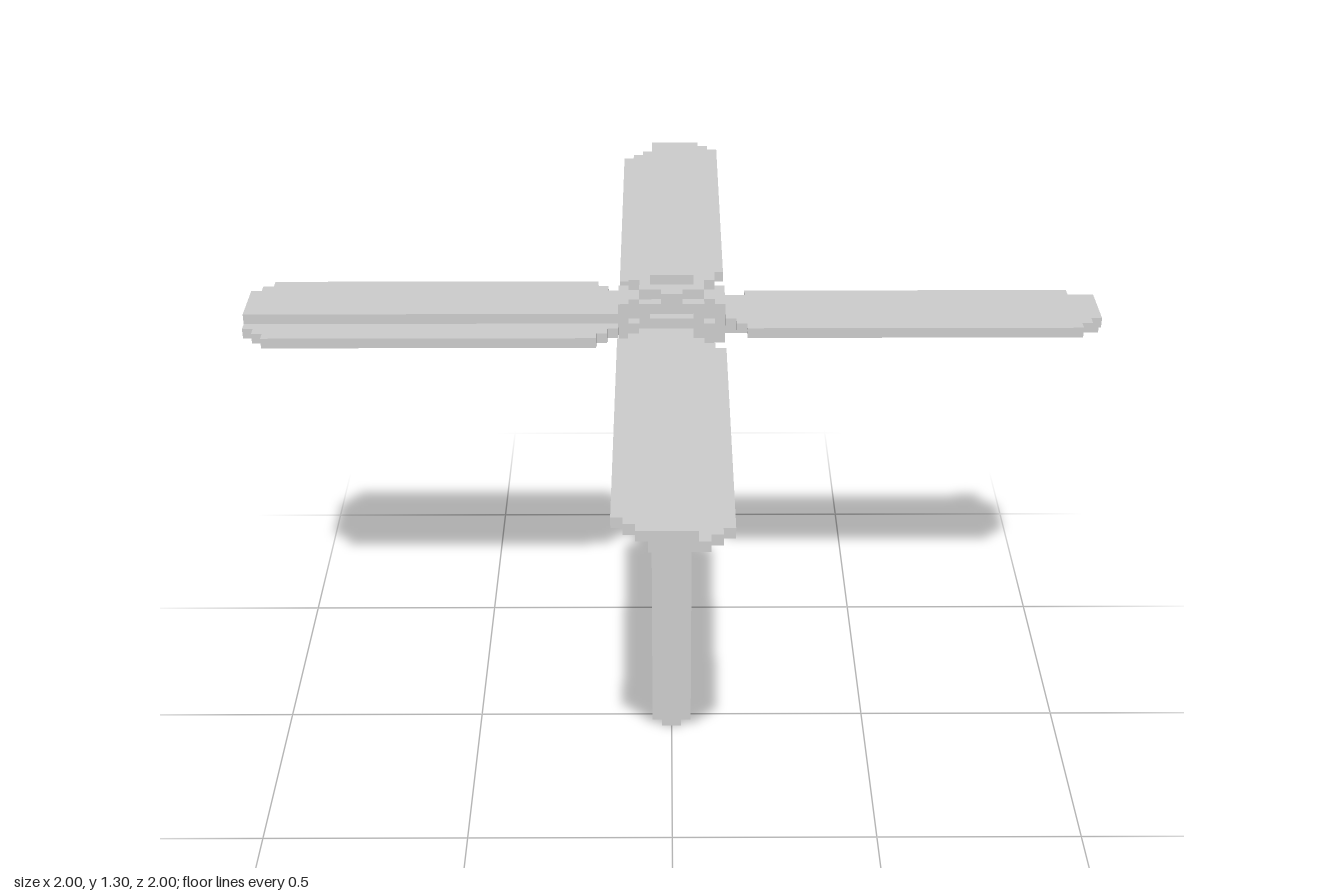
import * as THREE from 'three';

const U = 0.025; // size of one block
const material = new THREE.MeshStandardMaterial({ color: 0xcccccc, flatShading: true });

// Stepped outline: union of centred rectangles given as [half width, half depth],
// ordered from widest to deepest, with depth limited to lo..hi.
function steppedShape(rects, lo = -Infinity, hi = Infinity) {
  const quarter = [];
  rects.forEach(([w, d], i) => {
    if (i > 0) quarter.push([w, rects[i - 1][1]]);
    quarter.push([w, d]);
  });
  const reversed = [...quarter].reverse();
  const outline = [
    ...quarter,
    ...reversed.map(([x, y]) => [-x, y]),
    ...quarter.map(([x, y]) => [-x, -y]),
    ...reversed.map(([x, y]) => [x, -y]),
  ].map(([x, y]) => new THREE.Vector2(x * U, Math.min(hi, Math.max(lo, y)) * U));
  return new THREE.Shape(outline.filter((p, i) => i === 0 || !p.equals(outline[i - 1])));
}

// Horizontal slab of a shape, its underside at block height y
function slab(name, shape, y, height) {
  const geometry = new THREE.ExtrudeGeometry(shape, { depth: height * U, bevelEnabled: false });
  geometry.rotateX(-Math.PI / 2);
  const mesh = new THREE.Mesh(geometry, material);
  mesh.name = name;
  mesh.position.y = y * U;
  return mesh;
}

// Blade of two overlapping layers, stepped sideways to suggest pitch
function createBlade() {
  const blade = new THREE.Group();
  const plan = [[17.5, 3], [16.5, 4], [15.5, 5]];
  const upper = slab('bladeUpperLayer', steppedShape(plan, -Infinity, 2), 47, 1);
  const lower = slab('bladeLowerLayer', steppedShape(plan, -2, Infinity), 46, 1);
  upper.position.x = lower.position.x = 22.5 * U;
  blade.add(upper, lower);
  return blade;
}

export function createModel() {
  const model = new THREE.Group();
  model.name = 'ceilingFan';

  // Pole with notched corners
  model.add(slab('pole', steppedShape([[2, 1], [1, 2]]), 0, 42));

  // Ball-shaped hub, stacked from the middle outwards
  const hub = new THREE.Group();
  hub.name = 'hub';
  const middle = 47;
  hub.add(slab('hubMiddle', steppedShape([[5, 2], [4, 4], [2, 5]]), middle - 1, 2));
  const layers = [
    [[5, 2], [4, 3], [3, 4], [2, 5]],
    [[4, 3], [3, 4]],
    [[4, 1], [3, 3], [1, 4]],
    [[2, 2]],
  ];
  layers.forEach((rects, i) => {
    const shape = steppedShape(rects);
    hub.add(slab('hubUpperLayer', shape, middle + 1 + i, 1));
    hub.add(slab('hubLowerLayer', shape, middle - 2 - i, 1));
  });
  model.add(hub);

  // Four blades around the hub
  for (let i = 0; i < 4; i++) {
    const blade = createBlade();
    blade.name = 'blade' + (i + 1);
    blade.rotation.y = (i * Math.PI) / 2;
    model.add(blade);
  }
  return model;
}
